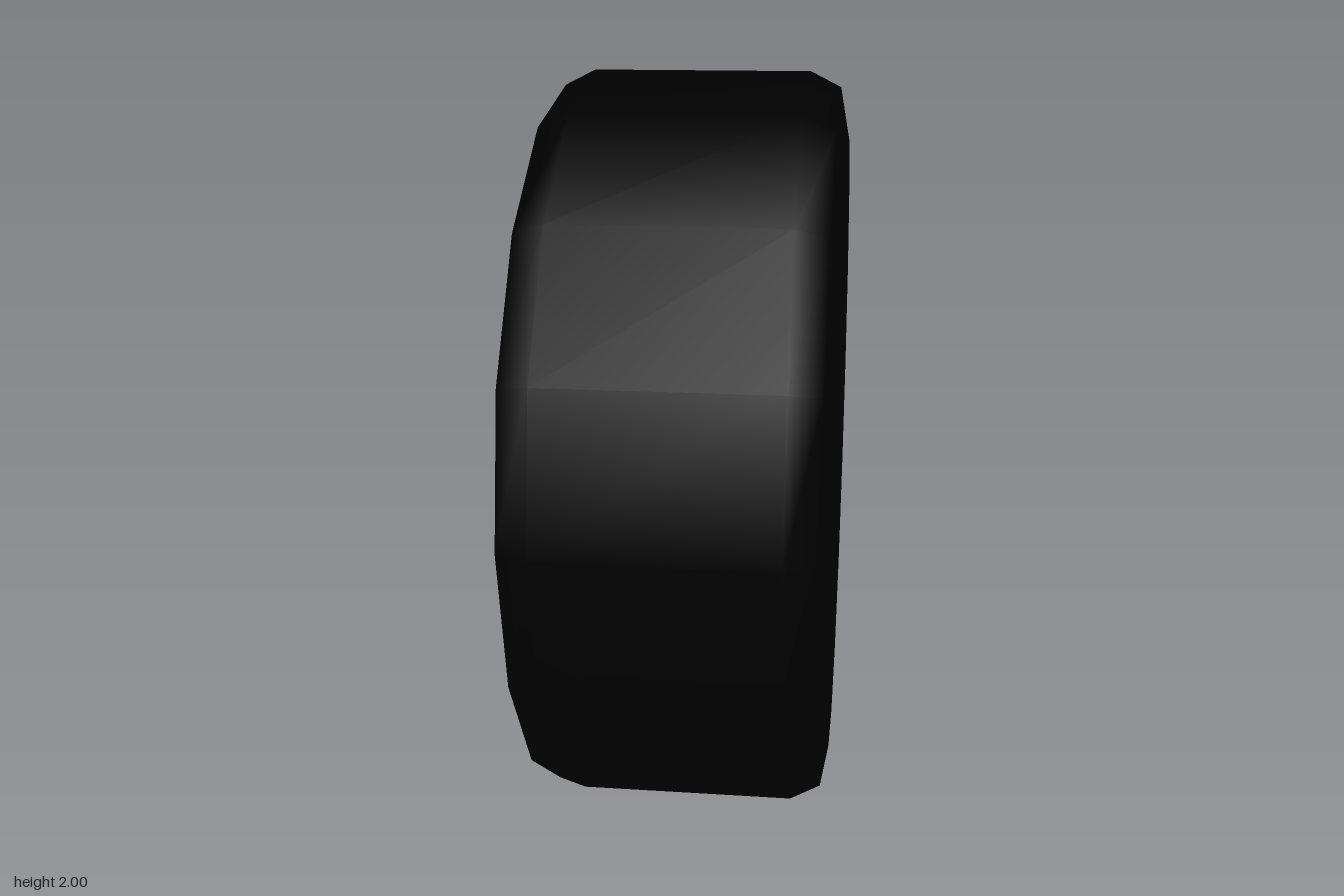
import * as THREE from 'three';

export function createModel() {
  const rubber = new THREE.MeshStandardMaterial({ color: 0x000000 });
  rubber.name = 'black rubber';
  const trim = new THREE.MeshStandardMaterial({ color: 0xe7e7e7 });
  trim.name = 'pale grey trim';

  const wheel = new THREE.Group();
  wheel.name = 'wheel';

  // Turns a [radius, x] profile around the axle, which runs along x
  function turned(name, profile, sides, material) {
    const geometry = new THREE.LatheGeometry(profile.map(([r, x]) => new THREE.Vector2(r, x)), sides);
    geometry.rotateZ(-Math.PI / 2);
    const mesh = new THREE.Mesh(geometry, material);
    mesh.name = name;
    wheel.add(mesh);
  }

  // Tyre: open sidewall, shoulders, flat tread, closed sidewall
  turned('tyre', [
    [0.74, -0.385], [0.85, -0.385], [0.96, -0.365], [1, -0.285],
    [1, 0.285], [0.96, 0.365], [0.85, 0.385],
  ], 16, rubber);
  turned('closedSide', [[0.85, 0.385], [0, 0.385]], 16, rubber);

  // Thin pale ring laid on the open sidewall
  turned('rimRing', [[0.74, -0.388], [0.84, -0.388]], 64, trim);

  // Hollow hub: floor, inner wall and bevelled lip in one smooth surface
  turned('hub', [[0, 0.2], [0.63, 0.2], [0.63, -0.345], [0.74, -0.385]], 16, rubber);

  wheel.position.y = 1;
  const model = new THREE.Group();
  model.name = 'wheelModel';
  model.add(wheel);
  return model;
}
